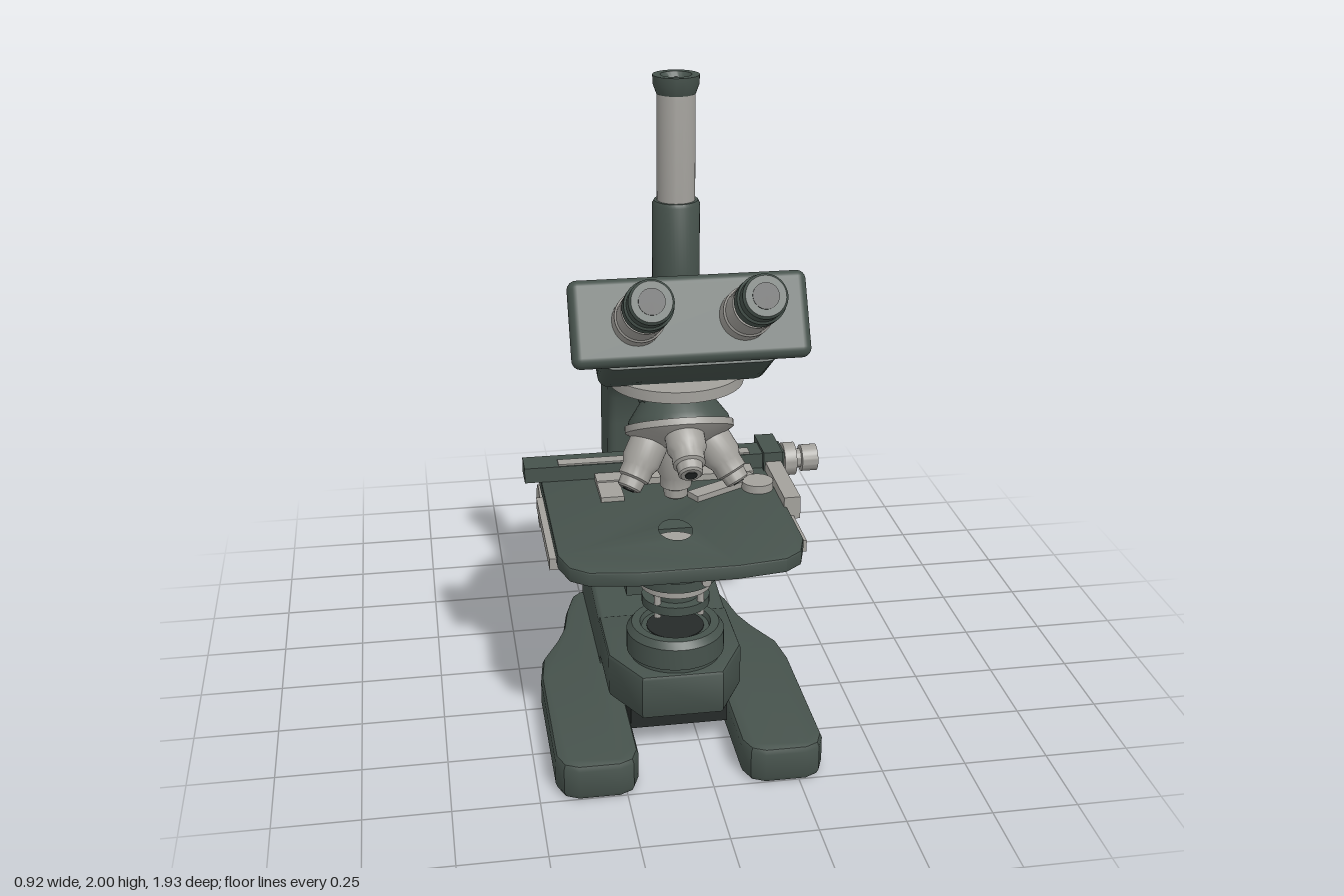
import * as THREE from 'three';
import { toCreasedNormals } from 'three/addons/utils/BufferGeometryUtils.js';
import { RoundedBoxGeometry } from 'three/addons/geometries/RoundedBoxGeometry.js';

const mat = (name, color) => Object.assign(new THREE.MeshStandardMaterial({ color }), { name });

export function createModel() {
  const enamel = mat('dark green enamel', 0x46524c);
  const metal = mat('satin metal', 0xa3a19c);
  const black = mat('black', 0x262a29);
  const model = new THREE.Group();
  model.name = 'microscope';
  const body = new THREE.Group();
  body.name = 'body';
  body.position.x = -0.06; // optical axis lies slightly off centre
  model.add(body);

  const V = (x, y, z) => new THREE.Vector3(x, y, z);
  const X = V(1, 0, 0), Y = V(0, 1, 0), BACK = V(0, 0, -1);

  function add(name, geo, material, pos) {
    const m = new THREE.Mesh(geo, material);
    m.name = name;
    if (pos) m.position.copy(pos);
    body.add(m);
    return m;
  }
  // box given by its min and max on each axis
  const box = (name, material, x0, x1, y0, y1, z0, z1) =>
    add(name, new THREE.BoxGeometry(x1 - x0, y1 - y0, z1 - z0), material,
      V((x0 + x1) / 2, (y0 + y1) / 2, (z0 + z1) / 2));
  // solid of revolution: [radius, distance] pairs along dir from origin
  function turned(name, material, origin, dir, pts, segs = 40) {
    const p = [[0, pts[0][1]], ...pts, [0, pts[pts.length - 1][1]]].map(([r, t]) => new THREE.Vector2(r, t));
    const m = add(name, toCreasedNormals(new THREE.LatheGeometry(p, segs), 0.6), material, origin);
    m.quaternion.setFromUnitVectors(Y, dir.clone().normalize());
    return m;
  }
  // plan outline of [x, z] points raised from y0 to y1
  function plan(name, material, pts, y0, y1, bevel = 0, hole) {
    const s = new THREE.Shape(pts.map(([x, z]) => new THREE.Vector2(x, -z)));
    if (hole) s.holes.push(new THREE.Path().absellipse(0, -hole[0], hole[1], hole[2], 0, Math.PI * 2, true));
    const g = new THREE.ExtrudeGeometry(s, {
      depth: y1 - y0 - 2 * bevel, bevelEnabled: bevel > 0, bevelSize: bevel, bevelOffset: -bevel,
      bevelThickness: bevel, bevelSegments: 2, curveSegments: 24,
    });
    g.rotateX(-Math.PI / 2);
    return add(name, toCreasedNormals(g, 0.6), material, V(0, y0 + bevel, 0));
  }
  const mirrored = half => [...half, ...half.map(([x, z]) => [-x, z]).reverse()];
  // loft of rounded rectangles: [inner z, inner y, outer z, outer y, half width]
  function loft(name, material, sections, radius) {
    const pos = [], idx = [], n = 20;
    sections.forEach(([zi, yi, zo, yo, w]) => {
      const h = Math.hypot(zo - zi, yo - yi) / 2, r = Math.min(radius, h * 0.95, w * 0.95);
      for (let j = 0; j < n; j++) {
        const q = Math.floor(j / 5), a = (q + (j % 5) / 4) * Math.PI / 2;
        const u = (q === 0 || q === 3 ? 1 : -1) * (w - r) + r * Math.cos(a);
        const v = ((q < 2 ? 1 : -1) * (h - r) + r * Math.sin(a)) / h;
        pos.push(u, (yi + yo) / 2 + v * (yo - yi) / 2, (zi + zo) / 2 + v * (zo - zi) / 2);
      }
    });
    const last = sections.length - 1;
    for (let i = 0; i < last; i++) for (let j = 0; j < n; j++) {
      const a = i * n + j, b = i * n + (j + 1) % n;
      idx.push(a, b, b + n, a, b + n, a + n);
    }
    for (let j = 1; j < n - 1; j++) idx.push(0, j + 1, j, last * n, last * n + j, last * n + j + 1);
    const g = new THREE.BufferGeometry();
    g.setAttribute('position', new THREE.Float32BufferAttribute(pos, 3));
    g.setIndex(idx);
    return add(name, toCreasedNormals(g, 0.65), material);
  }

  // horseshoe foot and pedestal
  plan('foot', enamel, mirrored([[0.15, 0.25], [0.15, 0.69], [0.17, 0.74], [0.21, 0.76], [0.33, 0.76], [0.37, 0.74],
    [0.39, 0.69], [0.39, 0.25], [0.375, 0.14], [0.32, 0.03], [0.29, -0.05], [0.27, -0.16], [0.24, -0.26], [0.21, -0.29]]),
  0, 0.115, 0.02);
  loft('pedestal', enamel, [[-0.29, 0.05, -0.29, 0.31, 0.2], [0.2, 0.05, 0.2, 0.26, 0.2]], 0.015);
  plan('mirrorHousing', enamel, mirrored([[0.2, 0.18], [0.2, 0.42], [0.12, 0.57]]), 0.13, 0.27, 0.012);
  box('housingUnderside', black, -0.145, 0.145, 0.06, 0.15, 0.2, 0.5);
  turned('fieldLensMount', enamel, V(0, 0, 0.425), Y,
    [[0.135, 0.26], [0.135, 0.28], [0.145, 0.285], [0.145, 0.35], [0.13, 0.37], [0.105, 0.37], [0.1, 0.355]]);
  turned('fieldLens', black, V(0, 0, 0.425), Y, [[0.085, 0.35], [0.085, 0.358]]);

  // curved arm
  loft('arm', enamel, [
    [-0.08, 0.26, -0.29, 0.26, 0.13], [-0.08, 0.8, -0.29, 0.8, 0.13], [-0.072, 0.89, -0.288, 0.98, 0.13],
    [-0.04, 0.95, -0.25, 1.025, 0.13], [0.02, 1.0, -0.14, 1.075, 0.127], [0.1, 1.03, 0, 1.11, 0.118],
    [0.24, 1.05, 0.19, 1.135, 0.105], [0.5, 1.055, 0.5, 1.145, 0.1]], 0.025);

  // focus knobs, both sides
  for (const s of [1, -1]) {
    turned('focusKnob', metal, V(0, 0.47, -0.22), V(s, 0, 0),
      [[0.06, 0.11], [0.06, 0.14], [0.105, 0.14], [0.115, 0.15], [0.115, 0.25], [0.105, 0.265], [0.07, 0.265],
        [0.07, 0.275], [0.076, 0.28], [0.076, 0.335], [0.07, 0.345]]);
  }

  // revolving nosepiece with four objectives
  turned('nosepieceMount', enamel, V(0, 0, 0.43), Y, [[0.09, 1.04], [0.115, 1.1], [0.12, 1.145]]);
  const apex = V(0, 1.13, 0.43), tilt = 0.49;
  const axis = V(0, -Math.cos(tilt), Math.sin(tilt));
  turned('nosepieceHub', enamel, apex, axis, [[0.09, 0.03], [0.14, 0.1], [0.145, 0.118]]);
  turned('nosepieceDisc', metal, apex, axis, [[0.153, 0.116], [0.153, 0.135], [0.13, 0.15], [0.06, 0.185], [0.03, 0.19]]);
  [0.35, 0.33, 0.31, 0.33].forEach((len, i) => {
    const dir = V(0, -1, 0).applyAxisAngle(axis, i * Math.PI / 2);
    turned('objective', metal, apex, dir,
      [[0.045, 0.13], [0.045, 0.18], [0.055, 0.185], [0.055, len - 0.085], [0.045, len - 0.065],
        [0.045, len - 0.035], [0.036, len - 0.03], [0.034, len - 0.005], [0.028, len]], 28);
    turned('objectiveLens', black, apex, dir, [[0.017, len - 0.01], [0.017, len + 0.003]], 20);
  });

  // trinocular head
  turned('headRing', metal, V(0, 0, 0.43), Y, [[0.19, 1.14], [0.19, 1.172]], 48);
  const headSection = ([z, yt, w]) => [z, 1.17, z, yt, w];
  loft('head', enamel, [
    ...[[0.24, 1.32, 0.08], [0.25, 1.335, 0.115], [0.275, 1.355, 0.155], [0.32, 1.37, 0.19],
      [0.38, 1.39, 0.215], [0.46, 1.415, 0.23]].map(headSection),
    [0.54, 1.17, 0.55, 1.45, 0.235], [0.69, 1.275, 0.6, 1.475, 0.24]], 0.035);
  const look = V(0, 0.47, 0.883), plateCentre = V(0, 1.393, 0.655);
  const plate = add('eyepiecePlate', new RoundedBoxGeometry(0.64, 0.235, 0.055, 4, 0.025), enamel, plateCentre);
  plate.rotation.x = -0.49;
  for (const x of [-0.143, 0.143]) {
    const at = plateCentre.clone().setX(x);
    turned('eyepieceTube', metal, at, look,
      [[0.068, 0], [0.068, 0.09], [0.063, 0.095], [0.063, 0.2], [0.052, 0.205], [0.052, 0.22]]);
    turned('eyepieceCap', enamel, at, look,
      [[0.058, 0.215], [0.064, 0.222], [0.064, 0.265], [0.058, 0.27], [0.058, 0.31], [0.052, 0.318], [0.036, 0.318]]);
    turned('eyepieceLens', black, at, look, [[0.034, 0.315], [0.034, 0.321]]);
  }
  turned('beamSelector', metal, V(0.2, 1.235, 0.43), X, [[0.008, 0], [0.008, 0.06], [0.012, 0.065], [0.012, 0.1]], 16);
  turned('phototubeBase', enamel, V(0, 0, 0.43), Y,
    [[0.08, 1.36], [0.08, 1.42], [0.065, 1.44], [0.065, 1.65], [0.06, 1.66]]);
  turned('phototube', metal, V(0, 0, 0.43), Y, [[0.052, 1.65], [0.052, 1.94], [0.05, 1.96]]);
  turned('phototubeCap', enamel, V(0, 0, 0.43), Y,
    [[0.053, 1.95], [0.062, 1.975], [0.063, 2.0], [0.042, 2.0], [0.03, 1.985]]);
  turned('phototubeLens', black, V(0, 0, 0.43), Y, [[0.025, 1.98], [0.025, 1.988]]);

  // stage with light aperture
  plan('stage', enamel, mirrored([[0.355, -0.04], [0.355, 0.54], [0.33, 0.62], [0.28, 0.66], [0.14, 0.68]]),
    0.625, 0.67, 0.006, [0.43, 0.055, 0.075]);
  box('stageBearing', enamel, -0.28, 0.28, 0.59, 0.63, -0.08, 0.34);
  for (const s of [-1, 1]) {
    box('stageRail', metal, s * 0.35 - 0.025, s * 0.35 + 0.025, 0.605, 0.64, 0.08, 0.5);
    box('stageGib', enamel, s * 0.23 - 0.05, s * 0.23 + 0.05, 0.565, 0.6, -0.05, 0.24);
  }
  // mechanical slide carrier
  box('carrierBar', enamel, -0.405, 0.41, 0.672, 0.72, -0.05, 0.04);
  box('carrierScale', metal, -0.3, 0.3, 0.715, 0.725, -0.005, 0.035);
  box('carrierPlate', metal, -0.19, 0.3, 0.67, 0.69, 0.04, 0.1);
  box('slideArm', metal, -0.19, -0.12, 0.67, 0.685, 0.09, 0.21);
  const finger = box('slideFinger', metal, 0.07, 0.31, 0.67, 0.688, 0.15, 0.2);
  finger.rotation.y = 0.5;
  turned('slidePivot', metal, V(0.295, 0.67, 0.18), Y, [[0.048, 0], [0.048, 0.025]]);
  box('carrierBracket', metal, 0.345, 0.395, 0.63, 0.7, 0.05, 0.33);
  box('carrierGearbox', enamel, 0.34, 0.4, 0.62, 0.73, -0.09, 0.06);
  turned('carrierKnobs', metal, V(0, 0.68, 0), X,
    [[0.025, 0.39], [0.025, 0.41], [0.052, 0.412], [0.052, 0.45], [0.03, 0.452], [0.03, 0.468], [0.042, 0.47], [0.042, 0.52]]);

  // substage carriage
  box('stageSlide', enamel, -0.11, 0.11, 0.33, 0.7, -0.09, 0.0);
  box('substageBlock', enamel, -0.12, 0.12, 0.365, 0.595, 0, 0.24);
  turned('rackPost', enamel, V(0, 0, 0.11), Y, [[0.03, 0.25], [0.018, 0.29], [0.018, 0.37]], 20);
  turned('substageKnob', metal, V(0, 0.445, 0.15), X, [[0.03, 0.11], [0.03, 0.13], [0.06, 0.13], [0.06, 0.18], [0.055, 0.185]]);
  box('condenserFork', enamel, -0.1, 0.1, 0.52, 0.56, 0.22, 0.36);
  // condenser stack
  const condenser = [[0.07, 0.595, 0.63, metal], [0.13, 0.572, 0.6, enamel], [0.11, 0.555, 0.575, metal],
    [0.12, 0.525, 0.555, enamel], [0.105, 0.5, 0.527, metal], [0.07, 0.465, 0.505, enamel], [0.1, 0.44, 0.467, enamel]];
  for (const [r, y0, y1, m] of condenser) turned('condenserRing', m, V(0, 0, 0.43), Y, [[r, y0], [r, y1]]);
  for (let i = 0; i < 4; i++) {
    const a = (i + 0.5) * Math.PI / 2;
    turned('condenserPin', metal, V(0.09 * Math.cos(a), 0, 0.43 + 0.09 * Math.sin(a)), Y, [[0.01, 0.425], [0.01, 0.505]], 12);
  }
  turned('condenserLever', metal, V(0.05, 0.585, 0.5), V(0.1, 0, 1), [[0.01, 0], [0.01, 0.06], [0.014, 0.065], [0.014, 0.11]], 14);
  turned('irisLever', metal, V(0.08, 0.56, 0.43), X, [[0.008, 0], [0.008, 0.09]], 12);

  // rear lamp house
  turned('lampCoupling', enamel, V(0, 0.15, 0), BACK, [[0.13, 0.28], [0.13, 0.32], [0.115, 0.325], [0.115, 0.34], [0.13, 0.345], [0.13, 0.39]]);
  turned('lampDrum', enamel, V(0, 0.24, 0), BACK, [[0.185, 0.375], [0.2, 0.39], [0.2, 0.595], [0.195, 0.602]], 56);
  box('filterSlot', metal, -0.16, 0.12, 0.36, 0.442, -0.54, -0.52);
  turned('filterPin', metal, V(0.1, 0.4, -0.53), X, [[0.014, 0], [0.014, 0.1]], 14);
  turned('lampLever', metal, V(0.1, 0.27, -0.34), V(0.09, 0.13, -0.05),
    [[0.008, 0], [0.008, 0.1], [0.022, 0.105], [0.022, 0.15], [0.016, 0.16]], 16);
  turned('couplingScrew', metal, V(0, 0.26, -0.365), Y, [[0.012, 0], [0.012, 0.08]], 14);
  turned('lampNeck', enamel, V(0, 0.15, 0), BACK, [[0.065, 0.59], [0.065, 0.79]]);
  for (let i = 0; i < 7; i++) {
    const t = 0.615 + i * 0.025;
    turned('coolingFin', enamel, V(0, 0.15, 0), BACK, [[0.1, t], [0.1, t + 0.009]]);
  }
  turned('lampSocket', enamel, V(0, 0.15, 0), BACK,
    [[0.105, 0.782], [0.108, 0.787], [0.108, 0.812], [0.1, 0.815], [0.1, 0.965], [0.096, 0.97]]);
  turned('socketScrew', metal, V(0, 0.24, -0.8), Y, [[0.009, 0], [0.009, 0.04], [0.015, 0.042], [0.015, 0.09]], 14);
  turned('socketPin', metal, V(0.07, 0.2, -0.845), X, [[0.009, 0], [0.009, 0.05], [0.016, 0.052], [0.016, 0.1]], 14);

  return model;
}
